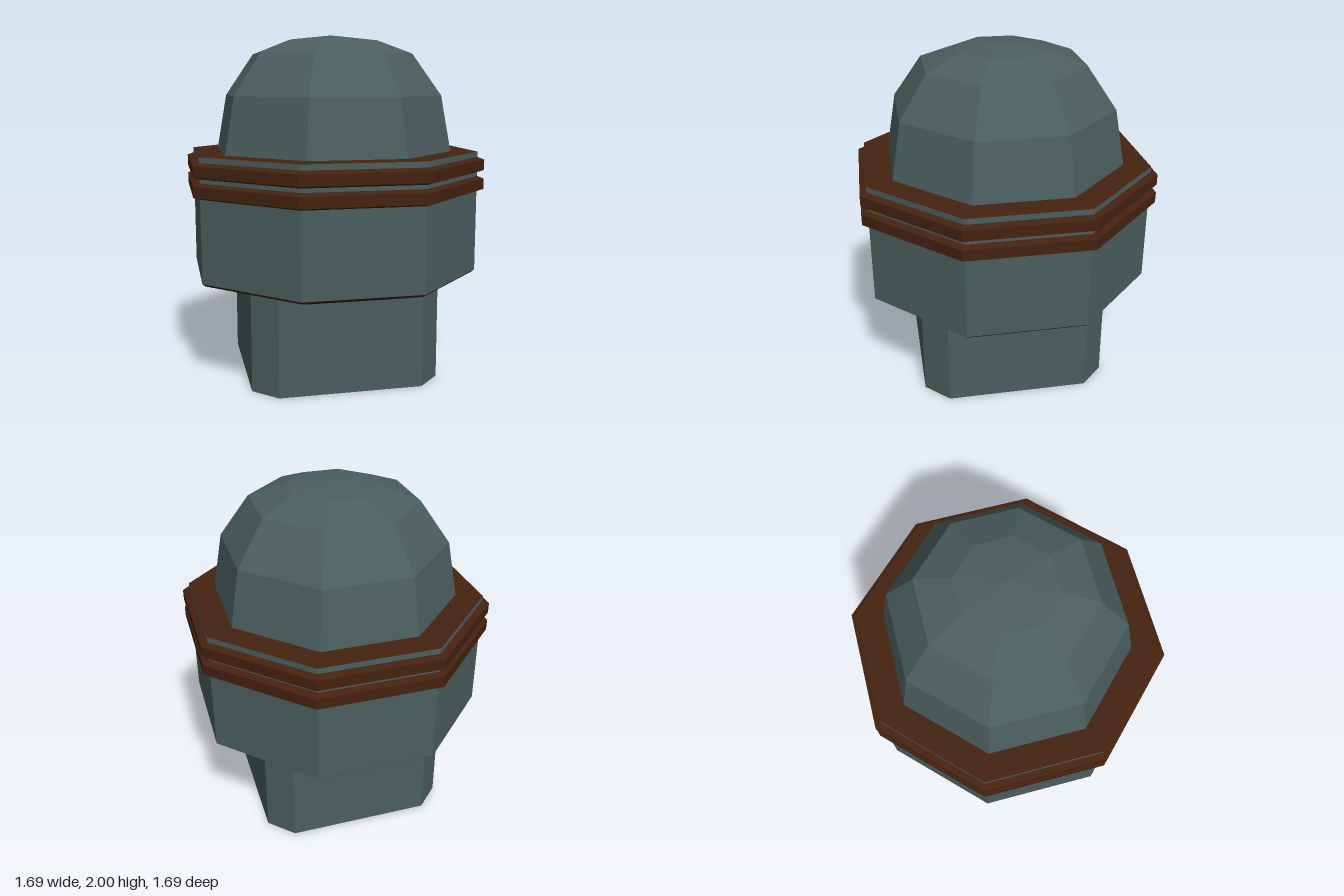
import * as THREE from 'three';

export function createModel() {
  const model = new THREE.Group();
  const slate = new THREE.MeshStandardMaterial({ color: 0x4b5e5e, flatShading: true, side: THREE.DoubleSide });
  slate.name = 'slate';
  const rust = new THREE.MeshStandardMaterial({ color: 0x45220f, flatShading: true, side: THREE.DoubleSide });
  rust.name = 'rust brown';

  const add = (name, geometry, material) => {
    const mesh = new THREE.Mesh(geometry, material);
    mesh.name = name;
    model.add(mesh);
    return mesh;
  };

  // Octagonal shell with a flat side to the front; profile is [apothem, height] from bottom to top
  const octagon = (name, profile, material) => {
    const points = profile.map(([a, y]) => new THREE.Vector2(a / Math.cos(Math.PI / 8), y));
    add(name, new THREE.LatheGeometry(points, 8, Math.PI / 8), material);
  };

  // Square foot with cut corners, open at the bottom
  const h = 0.547, c = 0.412;
  const corners = [[c, h], [h, c], [h, -c], [c, -h], [-c, -h], [-h, -c], [-h, c], [-c, h]];
  const positions = [];
  corners.forEach(([x0, z0], i) => {
    const [x1, z1] = corners[(i + 1) % 8];
    const top = 0.57;
    // Flat sides stop at the sloping underside
    positions.push(x0, 0, z0, x1, 0, z1, x1, top, z1, x0, 0, z0, x1, top, z1, x0, top, z0);
  });
  const foot = new THREE.BufferGeometry();
  foot.setAttribute('position', new THREE.Float32BufferAttribute(positions, 3));
  foot.computeVertexNormals();
  add('foot', foot, slate);

  // Main housing
  octagon('underside', [[0.53, 0.522], [0.79, 0.602], [0.806, 0.617]], rust);
  octagon('body', [[0.806, 0.617], [0.806, 1.325]], slate);
  octagon('shoulder', [[0.806, 1.325], [0.655, 1.325]], rust);

  // Pair of bevelled bands
  for (const [name, y] of [['lowerBand', 1.09], ['upperBand', 1.202]]) {
    octagon(name, [[0.8, y], [0.843, y + 0.015], [0.843, y + 0.077], [0.8, y + 0.094]], rust);
  }

  // Faceted dome
  octagon('dome', [[0.66, 1.325], [0.604, 1.65], [0.445, 1.892], [0.252, 1.97], [0, 2]], slate);

  return model;
}
